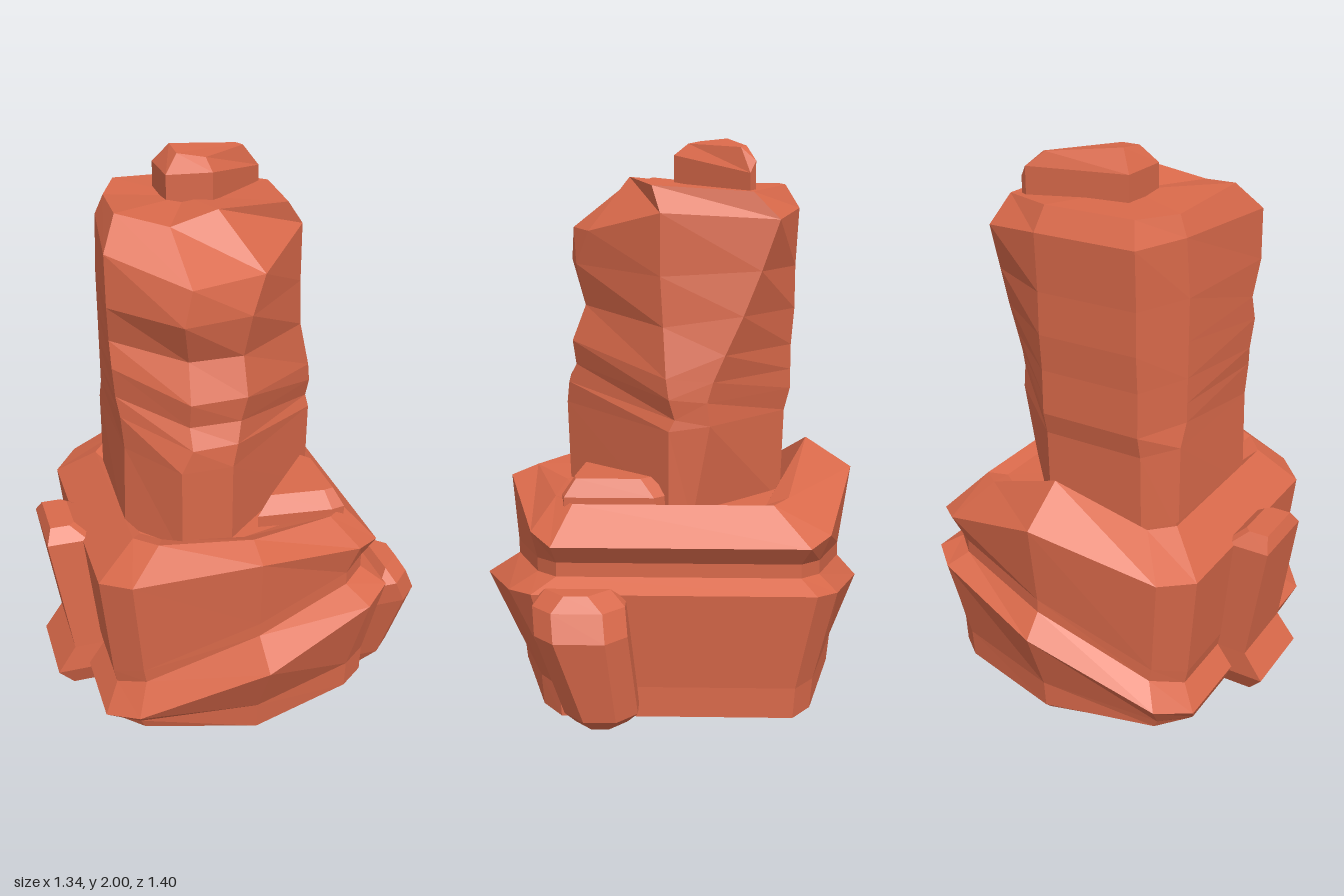
import * as THREE from 'three';

const rock = new THREE.MeshStandardMaterial({ color: 0xd9694a, flatShading: true });

// Skin a stack of rings, bottom to top; each runs clockwise seen from above.
function loft(name, rings) {
  const n = rings[0].length, pos = rings.flat(2), idx = [];
  for (let r = 0; r < rings.length - 1; r++) {
    for (let i = 0; i < n; i++) {
      const a = r * n + i, b = r * n + (i + 1) % n;
      idx.push(a, a + n, b + n, a, b + n, b);
    }
  }
  // close both ends with a fan around the ring's middle
  [rings[0], rings[rings.length - 1]].forEach((ring, end) => {
    const c = pos.length / 3, start = end ? (rings.length - 1) * n : 0;
    for (let k = 0; k < 3; k++) pos.push(ring.reduce((s, p) => s + p[k], 0) / n);
    for (let i = 0; i < n; i++) {
      const a = start + i, b = start + (i + 1) % n;
      if (end) idx.push(c, b, a); else idx.push(c, a, b);
    }
  });
  const g = new THREE.BufferGeometry();
  g.setAttribute('position', new THREE.Float32BufferAttribute(pos, 3));
  g.setIndex(idx);
  const flat = g.toNonIndexed();
  flat.computeVertexNormals();
  const mesh = new THREE.Mesh(flat, rock);
  mesh.name = name;
  return mesh;
}

// Ten-sided slab ring with separate heights at left edge, middle and right edge;
// lift raises the middle of the back.
function slabRing([l, r, f, b, yl, ym, yr, lift = 0]) {
  const plan = [
    [-0.02, b], [0.82 * r, 0.83 * b], [r, 0.72 * b], [r, 0.66 * f], [0.8 * r, 0.79 * f],
    [-0.02, f], [0.82 * l, 0.79 * f], [l, 0.63 * f], [l, 0.66 * b], [0.83 * l, 0.83 * b],
  ];
  return plan.map(([x, z], i) => {
    const y = x < 0 ? ym + (yl - ym) * x / l : ym + (yr - ym) * x / r;
    return [x, y + (i === 0 ? lift : 0), z];
  });
}

// Eight-sided tower ring: the strata dip from left to right. (xl, zl) and (xr, zr)
// are the rear corners of the two sides, (r, zs) is the right-hand corner.
function towerRing([y, l, r, zs, f, b, xl, zl, xr, zr, p1x, p2x, p2z, dip]) {
  return [
    [l, y + dip, 0.48 * f],
    [xl, y, zl],
    [-0.30, y, b],
    [0.07, y, b],
    [xr, y, zr],
    [r, y - dip, zs],
    [p2x, y, p2z],
    [p1x, y, f],
  ];
}

// Boulder ring: a rectangle with its two +x corners cut.
function boulderRing([y, x0, x1, z0, z1], cut) {
  const d = Math.min(cut, (z1 - z0) / 3);
  return [
    [x0, y, z0], [x1 - d, y, z0], [x1, y, z0 + d],
    [x1, y, z1 - d], [x1 - d, y, z1], [x0, y, z1],
  ];
}

export function createModel() {
  const model = new THREE.Group();
  model.name = 'rockFormation';

  // Base: lower slab, slanted crease, upper slab with a raised rim
  model.add(loft('base', [
    [-0.43, 0.40, 0.50, -0.57, 0, 0, 0],
    [-0.50, 0.47, 0.56, -0.60, 0.03, 0.03, 0.03],
    [-0.52, 0.47, 0.57, -0.61, 0.05, 0.14, 0.14],
    [-0.55, 0.51, 0.70, -0.70, 0.12, 0.39, 0.49],
    [-0.49, 0.44, 0.58, -0.63, 0.20, 0.47, 0.53],
    [-0.50, 0.44, 0.58, -0.63, 0.25, 0.52, 0.58],
    [-0.54, 0.49, 0.60, -0.67, 0.65, 0.77, 0.65, 0.04],
    [-0.40, 0.38, 0.50, -0.50, 0.77, 0.81, 0.77, 0.11],
    [-0.36, 0.34, 0.39, -0.41, 0.74, 0.75, 0.74],
  ].map(slabRing)));

  // Tower: layered front, plain sides that lean outwards over a rear ledge
  const tower = [
    [0.70, -0.40, 0.355, 0.00, 0.38, -0.40, -0.38, -0.28, 0.35, -0.08, -0.24, -0.06, 0.38, 0],
    [1.04, -0.39, 0.36, 0.00, 0.39, -0.41, -0.38, -0.28, 0.36, -0.14, -0.24, -0.06, 0.39, 0.02],
    [1.12, -0.40, 0.355, -0.02, 0.39, -0.43, -0.38, -0.24, 0.36, -0.13, -0.20, -0.04, 0.38, 0.06],
    [1.19, -0.41, 0.36, 0.00, 0.35, -0.43, -0.38, -0.24, 0.355, -0.15, -0.20, -0.02, 0.35, 0.06],
    [1.28, -0.42, 0.35, 0.01, 0.37, -0.43, -0.38, -0.24, 0.345, -0.19, -0.20, 0.00, 0.36, 0.08],
    [1.41, -0.42, 0.31, 0.02, 0.31, -0.44, -0.38, -0.24, 0.33, -0.25, -0.19, 0.00, 0.31, 0.04],
    [1.56, -0.43, 0.30, 0.03, 0.38, -0.44, -0.38, -0.24, 0.315, -0.31, -0.22, 0.02, 0.34, 0.02],
    [1.68, -0.43, 0.30, 0.03, 0.37, -0.45, -0.37, -0.25, 0.305, -0.37, -0.19, 0.08, 0.29, 0.04],
  ].map(towerRing);
  // raise the back and sides of the last layer towards the top
  [0.04, 0.08, 0.08, 0.08, 0.05, 0.11, 0, 0].forEach((dy, i) => { tower[7][i][1] += dy; });
  tower.push([
    [-0.37, 1.86, 0.08], [-0.34, 1.83, -0.24], [-0.27, 1.84, -0.40], [0.06, 1.84, -0.40],
    [0.28, 1.82, -0.28], [0.235, 1.84, 0.06], [-0.04, 1.865, 0.15], [-0.21, 1.83, 0.18],
  ]);
  model.add(loft('tower', tower));

  // Summit stone: a wedge that narrows upwards
  const wedge = [[-0.16, -0.06], [-0.16, -0.25], [0.21, -0.29], [0.24, -0.27], [-0.01, -0.01]];
  const inner = [[-0.11, -0.10], [-0.11, -0.20], [0.15, -0.26], [0.17, -0.24], [-0.02, -0.06]];
  const topY = [1.99, 2.0, 1.97, 1.965, 1.98];
  const midY = [1.93, 1.93, 1.92, 1.88, 1.94];
  model.add(loft('summitStone', [
    wedge.map(([x, z]) => [x, 1.80, z]),
    wedge.map(([x, z], i) => [x, midY[i], z]),
    inner.map(([x, z], i) => [x, topY[i], z]),
  ]));

  // Ledge stone: low triangular lump between tower and rim
  const lump = [[0.05, 0.34], [0.33, 0.0], [0.37, 0.05], [0.37, 0.36], [0.32, 0.37]];
  model.add(loft('ledgeStone', [[0.70, 1], [0.79, 1], [0.85, 0.72]].map(([y, s]) =>
    lump.map(([x, z]) => [0.26 + (x - 0.26) * s, y, 0.22 + (z - 0.22) * s]))));

  // Boulder leaning on the +x side
  model.add(loft('leftBoulder', [
    [0.02, 0.44, 0.55, 0.14, 0.32],
    [0.08, 0.42, 0.62, 0.10, 0.35],
    [0.38, 0.45, 0.67, 0.13, 0.44],
    [0.47, 0.49, 0.63, 0.14, 0.45],
    [0.52, 0.53, 0.60, 0.19, 0.41],
  ].map((s) => boulderRing(s, 0.07))));

  // Tall slab with a flared foot on the -x side
  model.add(loft('rightBoulder', [
    [0.02, -0.61, -0.42, -0.12, 0.11],
    [0.10, -0.67, -0.42, -0.16, 0.14],
    [0.20, -0.60, -0.42, -0.16, 0.13],
    [0.65, -0.67, -0.50, -0.17, 0.10],
    [0.70, -0.65, -0.56, -0.13, 0.06],
  ].map((s) => boulderRing(s, 0.02))));

  return model;
}
